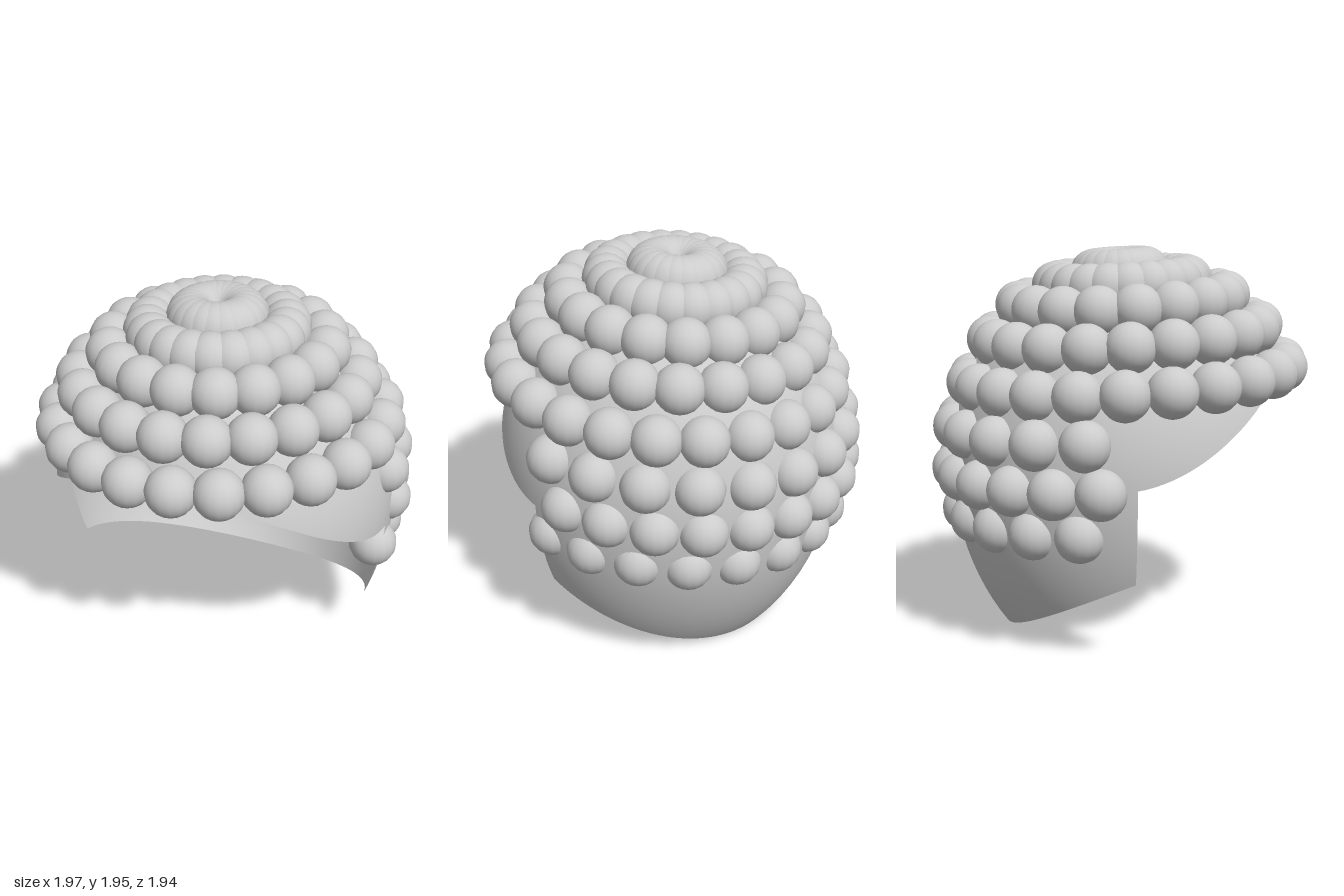
import * as THREE from 'three';

const CENTER_X = 0.018, CENTER_Y = 0.88, R = 0.888, TOP = 0.95, BOTTOM = 1.2;
const CURL = 0.123;
const rad = THREE.MathUtils.degToRad;

// Point on the egg-shaped scalp; phi is measured from +z towards +x
function scalpPoint(theta, phi) {
  const r = R * Math.cos(theta);
  const y = CENTER_Y + (theta > 0 ? TOP : BOTTOM) * Math.sin(theta);
  return [r * Math.sin(phi), y, r * Math.cos(phi)];
}

// Elevation at which the scalp meets the hem curve y = hem(z)
function hemTheta(phi, hem) {
  let lo = -1.2, hi = 1.2;
  for (let i = 0; i < 40; i++) {
    const mid = (lo + hi) / 2;
    const [, y, z] = scalpPoint(mid, phi);
    if (y < hem(z)) lo = mid; else hi = mid;
  }
  return lo;
}

// Piece of the cap between two azimuths, from its hem up to the crown
function capPanel(phi0, phi1, hem, cols, rows) {
  const pos = [], nor = [], idx = [];
  for (let i = 0; i <= cols; i++) {
    const phi = phi0 + (phi1 - phi0) * i / cols;
    const start = hemTheta(phi, hem);
    for (let j = 0; j <= rows; j++) {
      const theta = start + (Math.PI / 2 - start) * j / rows;
      const [x, y, z] = scalpPoint(theta, phi);
      pos.push(x + CENTER_X, y, z);
      const b = theta > 0 ? TOP : BOTTOM;
      const n = new THREE.Vector3(x / R ** 2, (y - CENTER_Y) / b ** 2, z / R ** 2).normalize();
      nor.push(n.x, n.y, n.z);
      if (i < cols && j < rows) {
        const a = i * (rows + 1) + j, c = a + rows + 1;
        idx.push(a, c, a + 1, c, c + 1, a + 1);
      }
    }
  }
  const geo = new THREE.BufferGeometry();
  geo.setAttribute('position', new THREE.Float32BufferAttribute(pos, 3));
  geo.setAttribute('normal', new THREE.Float32BufferAttribute(nor, 3));
  geo.setIndex(idx);
  return geo;
}

export function createModel() {
  const model = new THREE.Group();
  model.name = 'curlyHair';
  const curlMat = new THREE.MeshStandardMaterial({ color: 0xcccccc });
  const capMat = new THREE.MeshStandardMaterial({ color: 0xcccccc, side: THREE.DoubleSide });

  // Cap: fringe arching over the face, and the back sloping down to the nape
  const leftEdge = rad(86), rightEdge = rad(-82.5);
  const fringe = new THREE.Mesh(
    capPanel(rightEdge, leftEdge, z => 0.84 + 0.72 * z * z, 64, 24), capMat);
  fringe.name = 'fringe';
  const napeHem = z => 0.33 + 0.545 * z + 0.2 * (z + 0.6) * (0.06 - z);
  const back = new THREE.Mesh(
    capPanel(leftEdge, rightEdge + 2 * Math.PI, napeHem, 72, 36), capMat);
  back.name = 'backHair';
  model.add(fringe, back);

  // Rows of ball curls; start is the azimuth of the first curl in degrees
  const rows = [
    { name: 'napeCurls', y: 0.655, r: 0.825, count: 11, step: 16.8, start: 90, x: 0.01, z: 0.015 },
    { name: 'lowerCurls', y: 0.87, r: 0.868, count: 12, step: 15.2, start: 98.5, z: 0.01 },
    { name: 'earCurls', y: 1.095, r: 0.855, count: 11, step: 16.9, start: 92, z: 0.005 },
    { name: 'browCurls', y: 1.315, r: 0.812, count: 23, start: 5.3, z: 0.035 },
    { name: 'upperCurls', y: 1.52, r: 0.69, count: 21, start: 0, x: -0.015, z: 0.025 },
    { name: 'highCurls', y: 1.68, r: 0.533, count: 18, start: 0, x: -0.02, z: 0.012 },
    { name: 'crownCurls', y: 1.77, r: 0.34, count: 22, start: 0, x: -0.025, z: 0.01 },
    { name: 'topCurls', y: 1.823, r: 0.132, count: 22, start: 0, x: -0.028 },
  ];
  const ball = new THREE.SphereGeometry(CURL, 16, 18);
  for (const { name, y, r, count, step = 360 / count, start, x = 0, z = 0 } of rows) {
    const ring = new THREE.Group();
    ring.name = name;
    for (let i = 0; i < count; i++) {
      const a = rad(start + i * step);
      const px = r * Math.sin(a), pz = r * Math.cos(a);
      const curl = new THREE.Mesh(ball, curlMat);
      curl.name = 'curl';
      // each row tips up slightly towards the front and left
      curl.position.set(px + x, y + 0.04 * px + 0.05 * pz, pz + z);
      ring.add(curl);
    }
    model.add(ring);
  }
  return model;
}
